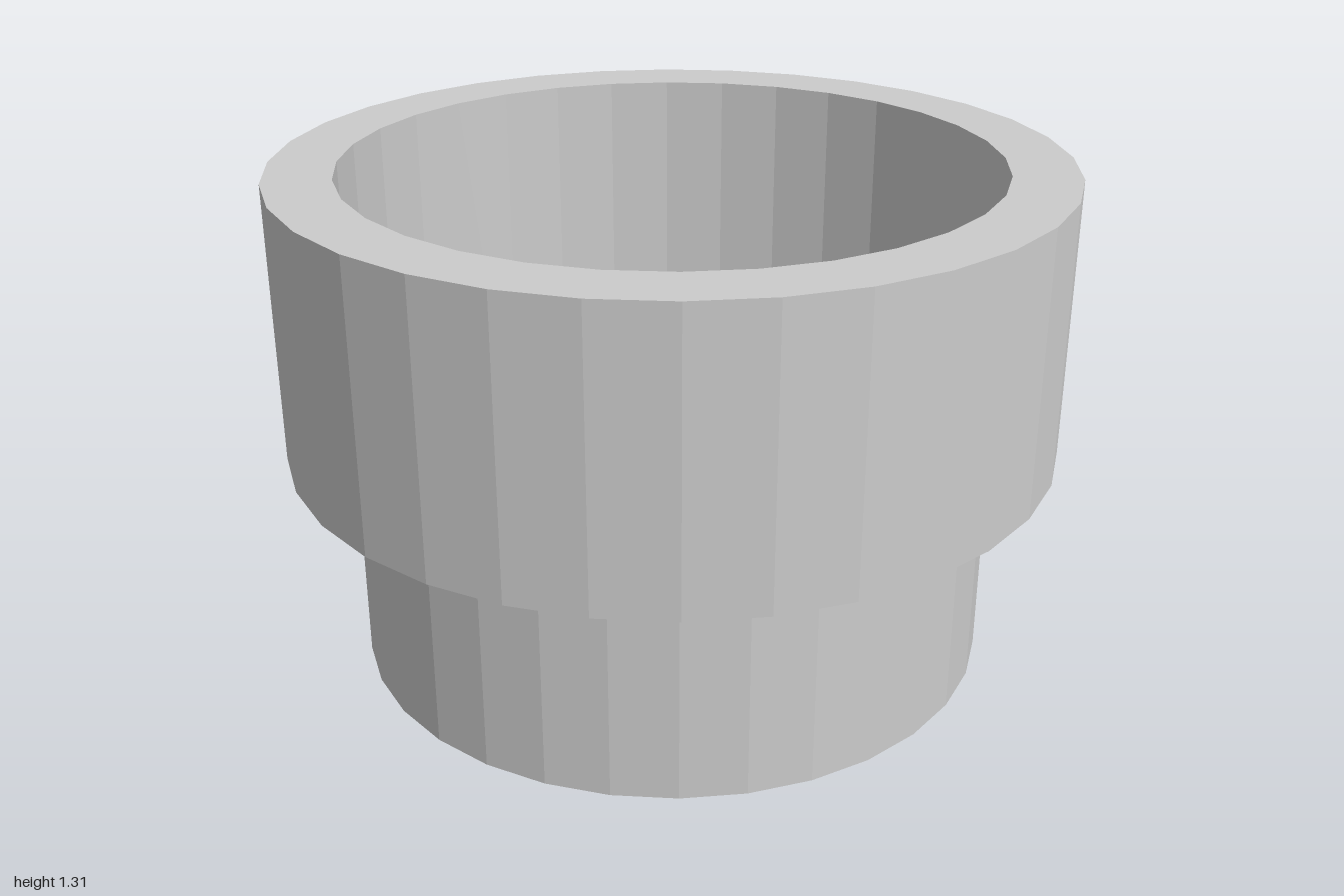
import * as THREE from 'three';

const SIDES = 32;
const INNER = 0.83, OUTER = 1, TOP = 1.305, SKIRT = 0.585;

export function createModel() {
  const group = new THREE.Group();
  const material = new THREE.MeshStandardMaterial({
    color: 0xcccccc, flatShading: true, side: THREE.DoubleSide,
  });

  function add(name, geometry, y) {
    const mesh = new THREE.Mesh(geometry, material);
    mesh.name = name;
    mesh.position.y = y;
    group.add(mesh);
    return mesh;
  }
  // Open, thin-walled tube between two heights
  const tube = (radius, y0, y1) =>
    new THREE.CylinderGeometry(radius, radius, y1 - y0, SIDES, 1, true);

  // Cup: a full-height wall with a closed floor
  add('cupWall', tube(INNER, 0, TOP), TOP / 2);
  add('cupFloor', new THREE.CircleGeometry(INNER, SIDES).rotateX(Math.PI / 2), 0);

  // Collar: flat rim with a skirt hanging from it, open underneath
  add('rim', new THREE.RingGeometry(INNER, OUTER, SIDES).rotateX(-Math.PI / 2), TOP);
  add('collarSkirt', tube(OUTER, SKIRT, TOP), (SKIRT + TOP) / 2);

  return group;
}
